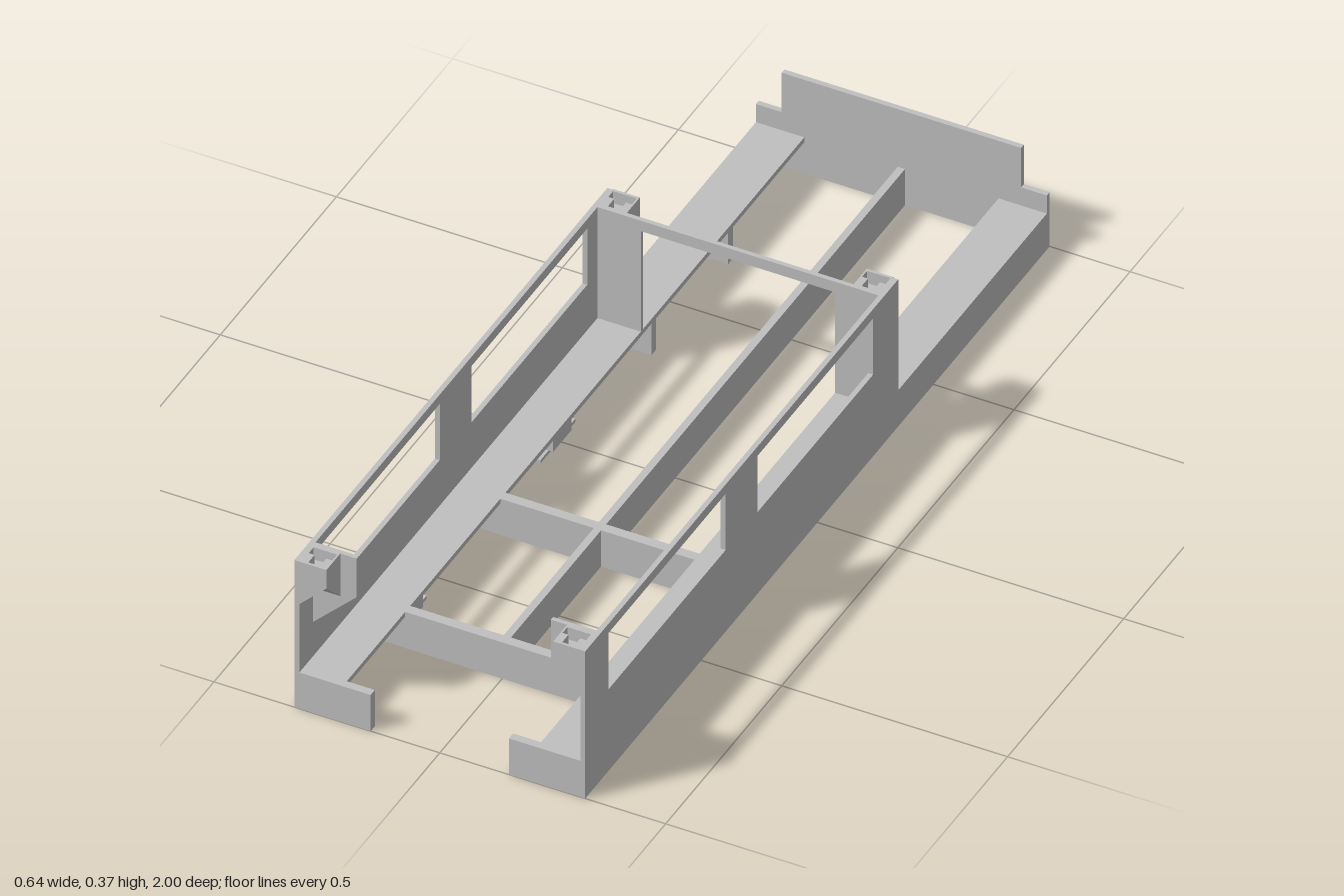
import * as THREE from 'three';

export function createModel() {
  const model = new THREE.Group();
  model.name = 'chassisShell';
  const grey = new THREE.MeshStandardMaterial({ color: 0xbfbfbf });
  grey.name = 'plain grey';

  const W = 0.322, T = 0.011, IN = 0.215, FLOOR = 0.09, TOP = 0.366, BACK = -0.348;

  function add(name, geometry) {
    const mesh = new THREE.Mesh(geometry, grey);
    mesh.name = name;
    model.add(mesh);
    return mesh;
  }
  // Box given by its limits on each axis, in any order
  function box(name, x0, x1, y0, y1, z0, z1) {
    const g = new THREE.BoxGeometry(Math.abs(x1 - x0), Math.abs(y1 - y0), Math.abs(z1 - z0));
    g.translate((x0 + x1) / 2, (y0 + y1) / 2, (z0 + z1) / 2);
    return add(name, g);
  }
  const points = list => list.map(([a, b]) => new THREE.Vector2(a, b));
  function outline(list, holes = []) {
    const shape = new THREE.Shape(points(list));
    holes.forEach(h => shape.holes.push(new THREE.Path(points(h))));
    return shape;
  }
  const rect = (a0, a1, b0, b1) => [[a0, b0], [a1, b0], [a1, b1], [a0, b1]];
  const extrude = (shape, depth) =>
    new THREE.ExtrudeGeometry(shape, { depth, bevelEnabled: false, curveSegments: 8 });
  // Outline in (x, y), running from z0 to z1
  const alongZ = (name, shape, z0, z1) =>
    add(name, extrude(shape, z1 - z0).translate(0, 0, z0));
  // Outline in (z, y), running from x0 to x1
  const alongX = (name, shape, x0, x1) =>
    add(name, extrude(shape, x1 - x0).rotateY(-Math.PI / 2).translate(x1, 0, 0));
  // Outline in (x, z), running from y0 to y1
  const alongY = (name, shape, y0, y1) =>
    add(name, extrude(shape, y1 - y0).rotateX(Math.PI / 2).translate(0, y1, 0));

  // Screw block in the corner of a wall and a panel: slotted top, two sloped undersides
  function cornerBlock(s, zPanel, d) {
    const w = 0.06, y0 = 0.26, wall = s * (W - T), inner = wall - s * w, end = zPanel + d * w;
    const x = Math.min(wall, inner), z = Math.min(zPanel, end), mid = x + w / 2;
    alongZ('blockWallSlope', outline([[wall, y0], [wall, y0 + w], [inner, y0 + w]]), z, z + w);
    alongX('blockPanelSlope', outline([[zPanel, y0], [zPanel, y0 + w], [end, y0 + w]]), x, x + w);
    box('blockBase', wall, inner, y0 + w, 0.336, zPanel, end);
    const slot = [[mid - 0.026, z + 0.006], [mid + 0.026, z + 0.006], [mid + 0.026, z + 0.027],
      [mid + 0.013, z + 0.027], [mid + 0.013, z + 0.054], [mid - 0.013, z + 0.054],
      [mid - 0.013, z + 0.027], [mid - 0.026, z + 0.027]];
    alongY('blockTop', outline(rect(x, x + w, z, z + w), [slot]), 0.336, TOP);
  }

  for (const s of [1, -1]) {
    const wall = s * (W - T);

    // Side wall with two windows and a low rear part
    const side = outline(
      [[1, 0], [1, TOP], [BACK, TOP], [BACK, FLOOR], [-1, FLOOR], [-1, 0]],
      [rect(0.395, 0.9, 0.203, 0.343), rect(-0.24, 0.258, 0.203, 0.343)]);
    alongX('sideWall', side, s > 0 ? W - T : -W, s > 0 ? W : -W + T);

    // Floor strip with ribs beneath
    box('floorStrip', wall, s * IN, FLOOR - 0.012, FLOOR, -0.99, 1);
    for (const z of [0.72, 0.31, -0.34, -0.67]) {
      box('floorRib', wall, s * IN, 0, FLOOR - 0.012, z - 0.01, z + 0.01);
    }

    // Front bracket
    box('frontBracket', wall, s * 0.153, 0, FLOOR, 0.982, 1);

    // Mounting bosses with drilled plates at the bottom
    for (const z of [0.645, 0.005]) {
      const a = s * 0.25, x0 = Math.min(a, wall), x1 = Math.max(a, wall);
      const plate = outline(rect(x0, x1, z - 0.075, z + 0.075));
      for (const dz of [-0.04, 0.04]) {
        const hole = new THREE.Path();
        hole.absarc(s * 0.281, z + dz, 0.013, 0, Math.PI * 2, true);
        plate.holes.push(hole);
      }
      alongY('mountPlate', plate, 0, 0.008);
      box('mountBoss', wall, s * 0.24, 0.008, FLOOR - 0.012, z - 0.04, z + 0.04);
    }

    // Front corner panel, cut at a slope below
    const panel = outline([[wall, TOP], [s * IN, TOP], [s * IN, 0.27], [wall, 0.175]]);
    alongZ('frontCornerPanel', panel, 0.93, 0.94);
    cornerBlock(s, 0.94, 1);

    // Partition post
    box('partitionPost', wall, s * IN, FLOOR, TOP, -0.294, -0.284);
    cornerBlock(s, -0.29, -1);
  }

  // Partition top beam
  box('partitionBeam', -IN, IN, 0.34, TOP, -0.294, -0.284);

  // Cross beams and centre beam
  for (const z of [0.72, 0.31]) box('crossBeam', -IN, IN, 0, FLOOR, z - 0.011, z + 0.011);
  box('centreBeam', -0.008, 0.008, 0, FLOOR, -0.99, 0.71);

  // Rear plate with stepped shoulders
  alongZ('rearPlate', outline([[-W, 0], [W, 0], [W, 0.135], [0.265, 0.135], [0.265, 0.233],
    [-0.265, 0.233], [-0.265, 0.135], [-W, 0.135]]), -1, -0.988);

  return model;
}
